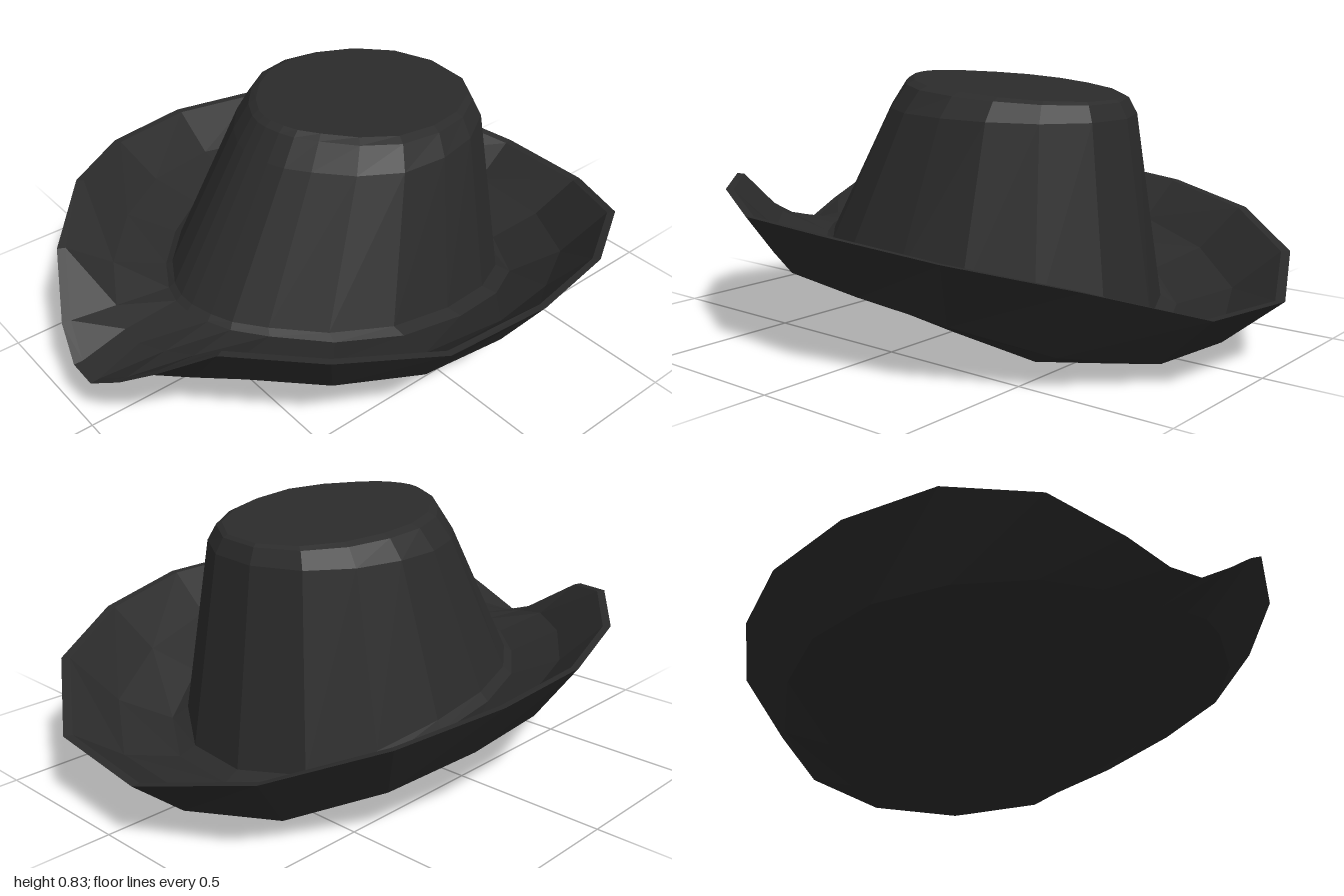
import * as THREE from 'three';

// Brim edge, walked from the front round by the hat's left: x, y, z
const RIM = [
  [0.04, 0.205, 1], [0.17, 0.285, 0.97], [0.29, 0.37, 0.92], [0.44, 0.475, 0.8], [0.66, 0.47, 0.58],
  [0.82, 0.44, 0.28], [0.84, 0.43, -0.09], [0.76, 0.39, -0.44], [0.57, 0.33, -0.76], [0.25, 0.22, -0.97],
  [-0.13, 0.2, -1], [-0.48, 0.27, -0.85], [-0.71, 0.35, -0.57], [-0.82, 0.4, -0.23], [-0.84, 0.43, 0.1],
  [-0.75, 0.46, 0.42], [-0.57, 0.485, 0.67], [-0.35, 0.42, 0.87], [-0.17, 0.285, 0.97], [-0.06, 0.21, 1],
];

// Height of the underside along z: level in front, dipping at the back
const DIP = [[-0.62, 0], [-0.5, 0.02], [-0.4, 0.065], [-0.25, 0.12], [-0.03, 0.17], [0.15, 0.195], [0.6, 0.195], [0.85, 0.185]];
function under(z) {
  if (z <= DIP[0][0]) return DIP[0][1];
  for (let i = 1; i < DIP.length; i++) {
    const [z0, y0] = DIP[i - 1], [z1, y1] = DIP[i];
    if (z <= z1) return y0 + (y1 - y0) * (z - z0) / (z1 - z0);
  }
  return 0.185;
}

// Height of the brim's top where it meets the crown, a little thicker in front
const seat = z => under(z) + 0.06 + 0.05 * Math.max(0, z);

// Oval ring with the rim's corner directions: half width, front z, back z, height rule
function ring(halfWidth, front, back, height) {
  return RIM.map(([x, , z]) => {
    const pz = (front + back) / 2 + z * (front - back) / 2;
    return [x / 0.84 * halfWidth, height(pz), pz];
  });
}

// Ring part of the way from an inner ring out to the rim, with its own share of the rise
function between(inner, t, heightShare) {
  return inner.map((p, i) => p.map((v, k) => v + (RIM[i][k] - v) * (k === 1 ? heightShare : t)));
}

// Skin over successive rings, with an optional cap on the first or last one
function loft(rings, cap) {
  const n = RIM.length, index = [], points = rings.flat();
  for (let r = 0; r < rings.length - 1; r++) {
    for (let i = 0; i < n; i++) {
      const a = r * n + i, b = r * n + (i + 1) % n;
      index.push(a, b, b + n, a, b + n, a + n);
    }
  }
  if (cap) {
    const start = cap === 'first' ? 0 : (rings.length - 1) * n;
    const centre = [0, 1, 2].map(k => rings[start / n].reduce((s, p) => s + p[k], 0) / n);
    points.push(centre);
    for (let i = 0; i < n; i++) {
      const a = start + i, b = start + (i + 1) % n, c = points.length - 1;
      if (cap === 'first') index.push(c, b, a);
      else index.push(a, b, c);
    }
  }
  const geometry = new THREE.BufferGeometry();
  geometry.setAttribute('position', new THREE.Float32BufferAttribute(points.flat(), 3));
  geometry.setIndex(index);
  geometry.computeVertexNormals();
  return geometry;
}

export function createModel() {
  const hat = new THREE.Group();
  hat.name = 'hat';
  const felt = new THREE.MeshStandardMaterial({ color: 0x2b2b2b, flatShading: true });
  felt.name = 'charcoal felt';

  const opening = ring(0.56, 0.66, -0.62, under);
  const crease = ring(0.54, 0.64, -0.63, seat);
  const crownBase = ring(0.5, 0.62, -0.575, z => seat(z) + 0.015);

  const add = (name, geometry) => {
    const mesh = new THREE.Mesh(geometry, felt);
    mesh.name = name;
    hat.add(mesh);
  };

  // Shallow hollow closing the underside
  add('lining', loft([
    ring(0.3, 0.36, -0.3, z => under(z) + 0.03),
    opening,
  ], 'first'));

  // Underside, edge and dished top of the brim
  add('brim', loft([
    opening,
    between(opening, 0.5, 0.22),
    RIM,
    between(crease, 0.92, 0.99),
    between(crease, 0.5, 0.33),
    crease,
    crownBase,
  ]));

  // Tapered crown with a rounded shoulder and a flat sloping top
  add('crown', loft([
    crownBase,
    ring(0.38, 0.36, -0.485, z => 0.725 + 0.03 * z),
    ring(0.338, 0.305, -0.462, z => 0.795 + 0.075 * z),
    ring(0.31, 0.282, -0.45, z => 0.808 + 0.085 * z),
  ], 'last'));

  return hat;
}
